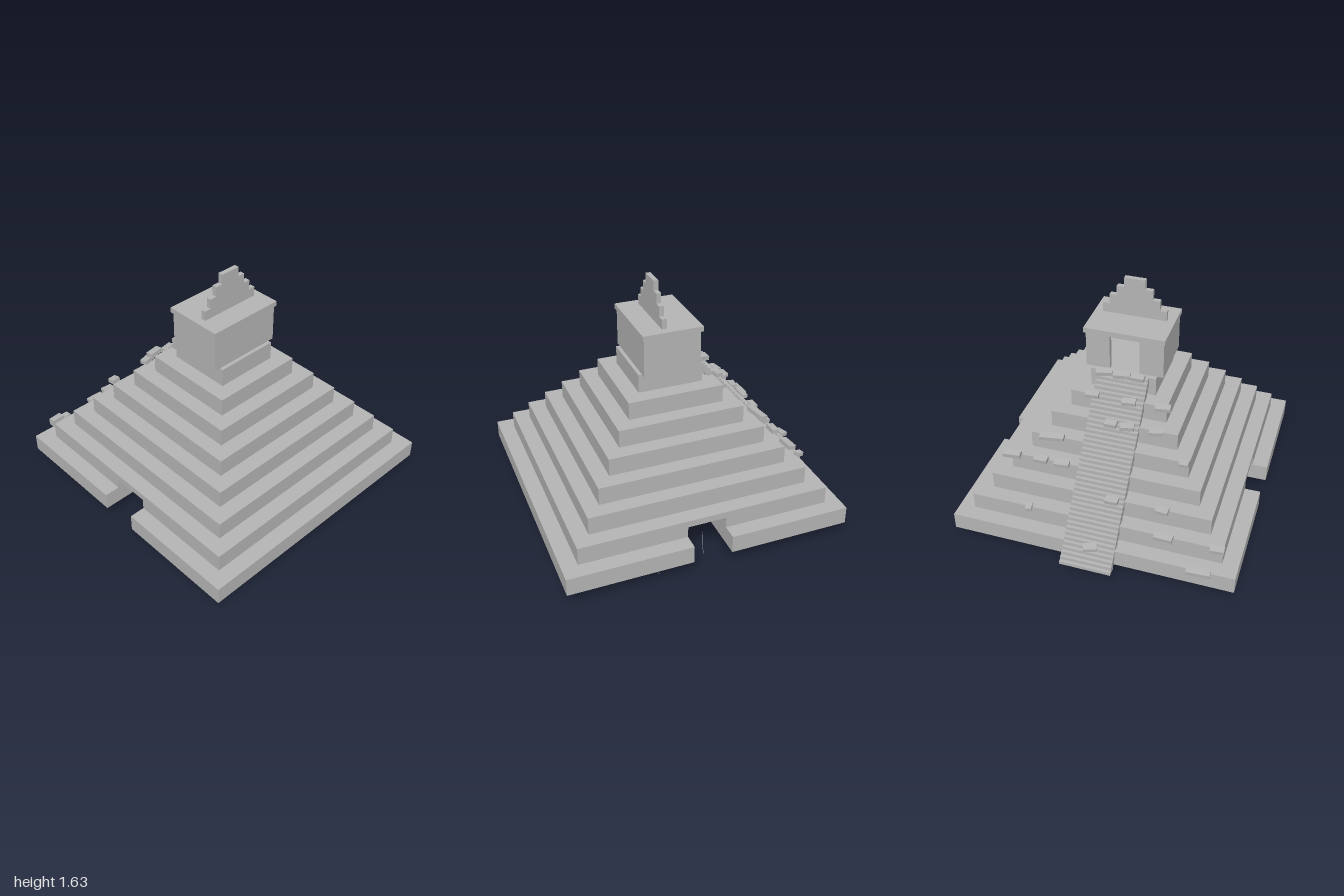
import * as THREE from 'three';

export function createModel() {
  const model = new THREE.Group();
  const stone = new THREE.MeshStandardMaterial({ color: 0xb4b4b4 });
  stone.name = 'grey stone';

  // Box given by its limits on each axis
  function block(name, x0, x1, y0, y1, z0, z1, parent = model) {
    const mesh = new THREE.Mesh(new THREE.BoxGeometry(x1 - x0, y1 - y0, z1 - z0), stone);
    mesh.position.set((x0 + x1) / 2, (y0 + y1) / 2, (z0 + z1) / 2);
    mesh.name = name;
    parent.add(mesh);
    return mesh;
  }
  function group(name) {
    const g = new THREE.Group();
    g.name = name;
    model.add(g);
    return g;
  }

  // Two lowest tiers, cut by a tunnel running from side to side
  function tunnelTier(name, half, y0, profile) {
    const shape = new THREE.Shape(profile.map(([z, y]) => new THREE.Vector2(-z, y)));
    const geometry = new THREE.ExtrudeGeometry(shape, { depth: half * 2, bevelEnabled: false });
    geometry.translate(0, 0, -half).rotateY(Math.PI / 2);
    const mesh = new THREE.Mesh(geometry, stone);
    mesh.position.y = y0;
    mesh.name = name;
    model.add(mesh);
  }
  const tunnelBack = -0.08, tunnelFront = 0.18;
  block('baseTierBack', -0.95, 0.95, 0.1, 0.22, -0.9, tunnelBack);
  block('baseTierFront', -0.95, 0.95, 0.1, 0.22, tunnelFront, 1);
  tunnelTier('tunnelTier', 0.845, 0.22, [
    [0.895, 0], [tunnelFront, 0], [tunnelFront, 0.075], [tunnelBack, 0.075],
    [tunnelBack, 0], [-0.795, 0], [-0.795, 0.12], [0.895, 0.12],
  ]);

  // Upper solid tiers
  for (let i = 2; i < 8; i++) {
    const half = 0.95 - i * 0.1043;
    const y = 0.1 + i * 0.1205;
    block('tier', -half, half, y, i === 7 ? 1.07 : y + 0.1205, 0.05 - half, 0.05 + half);
  }

  // Temple: four walls with a doorway at the back
  const temple = group('temple');
  const y0 = 1.07, y1 = 1.325, w = 0.035;
  block('frontWall', -0.26, 0.26, y0, y1, 0.245 - w, 0.245, temple);
  for (const s of [-1, 1]) {
    const a = s * 0.26, b = s * (0.26 - w), d = s * 0.1;
    block('sideWall', Math.min(a, b), Math.max(a, b), y0, y1, -0.14, 0.245 - w, temple);
    block('doorPier', Math.min(b, d), Math.max(b, d), y0, y1, -0.14, -0.14 + w, temple);
  }
  block('roofSlab', -0.27, 0.27, y1, 1.36, -0.155, 0.255, temple);

  // Stepped roof comb
  [0.215, 0.168, 0.12, 0.07].forEach((half, i) =>
    block('roofComb', -half, half, 1.36 + i * 0.0675, 1.36 + (i + 1) * 0.0675, 0.075, 0.108, temple));

  // Back stairway of overlapping thin treads
  const stairs = group('stairway');
  const steps = 40, rise = 0.97 / steps, run = 0.83 / steps;
  for (let i = 0; i < steps; i++) {
    const z = -1 + i * run, y = 0.1 + i * rise;
    block('tread', -0.173, 0.17, y, y + rise, z, z + 0.06, stairs);
  }

  // Loose stones on the ledges: x, z, tier, width, turn
  const stones = group('looseStones');
  [
    [-0.105, -0.195, 7, 0.09, 0], [0, -0.195, 7, 0.11, 0.15], [0.12, -0.195, 7, 0.11, 0.25],
    [-0.305, -0.3, 6, 0.1, 0.15], [-0.08, -0.305, 6, 0.09, 0.15], [0.17, -0.295, 6, 0.09, 0.1],
    [-0.29, -0.4, 5, 0.09, 0.25], [-0.1, -0.405, 5, 0.09, 0.2], [0.01, -0.405, 5, 0.08, 0],
    [-0.505, -0.505, 4, 0.06, 0.08], [0.38, -0.505, 4, 0.16, 0.15],
    [0.28, -0.605, 3, 0.1, 0.12], [0.425, -0.605, 3, 0.09, 0.02], [0.625, -0.61, 3, 0.115, 0.1],
    [-0.425, -0.71, 2, 0.08, -0.05], [-0.095, -0.715, 2, 0.085, 0],
    [-0.81, -0.815, 1, 0.09, 0.08], [-0.465, -0.815, 1, 0.12, -0.02], [0.44, -0.815, 1, 0.042, 0.25],
    [-0.72, -0.92, 0, 0.155, 0.05], [-0.015, -0.925, 0, 0.085, 0.3],
  ].forEach(([x, z, tier, width, turn]) => {
    const y = 0.232 + tier * 0.1205;
    const mesh = block('looseStone', x - width / 2, x + width / 2, y - 0.014, y + 0.014, z - 0.025, z + 0.025, stones);
    mesh.rotation.set(-0.12, turn, 0, 'YXZ');
  });

  // Thin hanging roots
  const roots = group('roots');
  [
    [0.52, 0.1, 0.885, 0.035],
    [0.87, 0.1, 0.395, 0],
    [0.83, 0.215, 0.075, 0.035],
  ].forEach(([x, top, z, bottom]) => {
    const points = [[0, 0, 0], [0.003, 0.35, 0.003], [-0.002, 0.7, -0.004], [-0.006, 1, -0.015]].map(
      ([dx, t, dz]) => new THREE.Vector3(x + dx, top + (bottom - top) * t, z + dz));
    const curve = new THREE.CatmullRomCurve3(points);
    const mesh = new THREE.Mesh(new THREE.TubeGeometry(curve, 12, 0.0015, 5), stone);
    mesh.name = 'root';
    roots.add(mesh);
  });

  return model;
}
